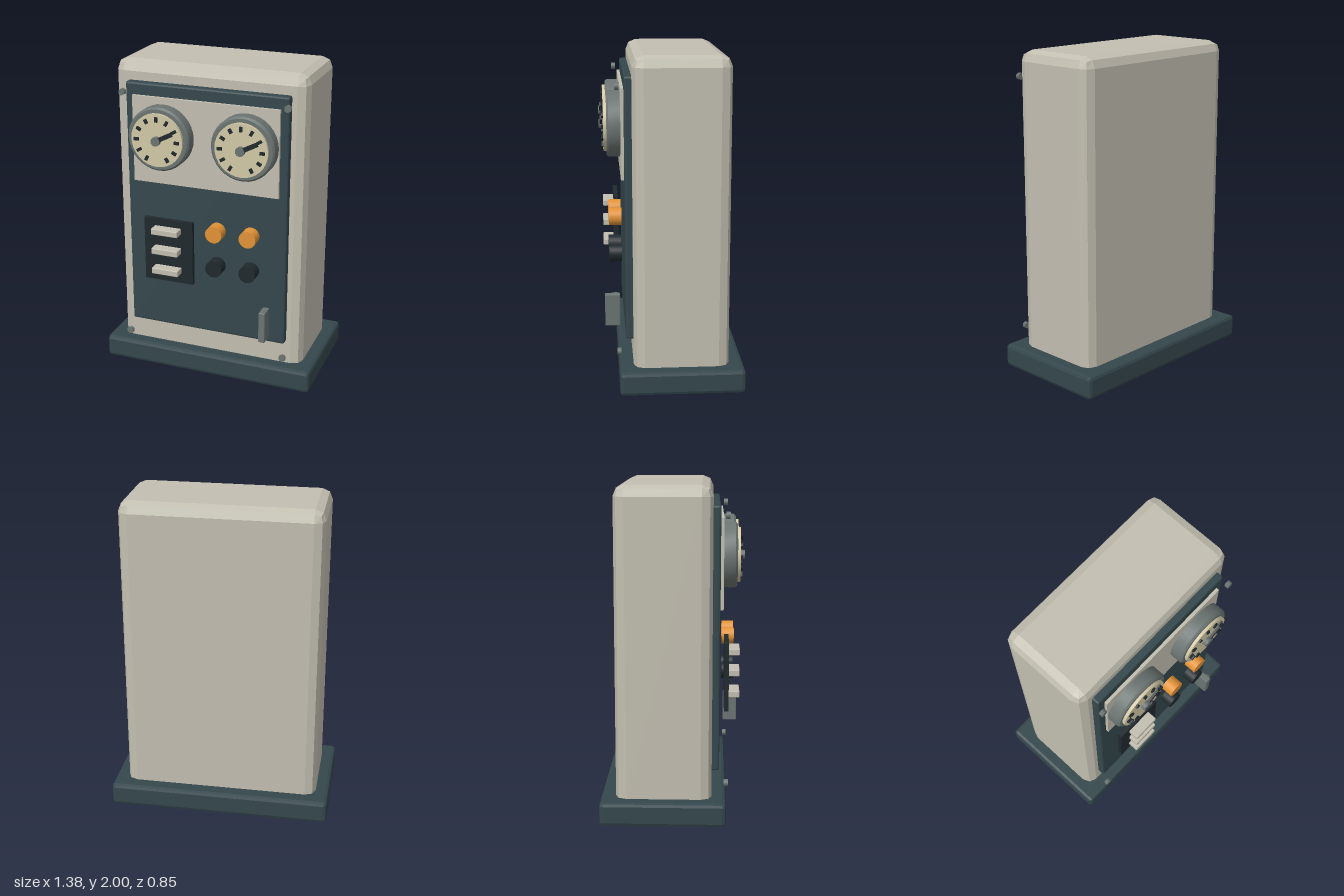
import * as THREE from 'three';
import { RoundedBoxGeometry } from 'three/addons/geometries/RoundedBoxGeometry.js';
import { toCreasedNormals } from 'three/addons/utils/BufferGeometryUtils.js';

const paint = (color, flatShading = false) => new THREE.MeshStandardMaterial({ color, flatShading });
const shell = paint(0xc2beb0, true);
const teal = paint(0x34474c, true);
const ivory = paint(0xc2beb0);
const metal = paint(0x6b7472);
const cream = paint(0xd2c8a6);
const black = paint(0x20292d);
const orange = paint(0xe29236);

export function createModel() {
  const model = new THREE.Group();

  const add = (name, geometry, material, x, y, z, parent = model) => {
    const mesh = new THREE.Mesh(geometry, material);
    mesh.name = name;
    mesh.position.set(x, y, z);
    parent.add(mesh);
    return mesh;
  };
  // Box with softened edges
  const soft = (w, h, d, r) => new RoundedBoxGeometry(w, h, d, 1, r);
  // Disc or knob facing the front
  const disc = (r, depth, sides) => new THREE.CylinderGeometry(r, r, depth, sides).rotateX(Math.PI / 2);

  // Cabinet on its plinth
  add('plinth', soft(1.385, 0.145, 0.75, 0.022), teal, 0, 0.0725, -0.05);
  add('cabinet', soft(1.22, 1.96, 0.575, 0.066), shell, 0, 1.02, -0.048);

  // Front panel and gauge plate
  add('frontPanel', soft(1.03, 1.585, 0.06, 0.012), teal, 0, 1.0875, 0.254);
  add('gaugePlate', new THREE.BoxGeometry(0.93, 0.54, 0.022), ivory, 0, 1.535, 0.292);

  // Pair of gauges: chamfered housing, dial, ticks, needle and hub
  const housing = toCreasedNormals(new THREE.LatheGeometry([
    [0, 0], [0.197, 0], [0.197, 0.072], [0.186, 0.084], [0, 0.084],
  ].map(([r, h]) => new THREE.Vector2(r, h)), 32).rotateX(Math.PI / 2), 0.6);
  for (const x of [-0.265, 0.265]) {
    const gauge = new THREE.Group();
    gauge.name = 'gauge';
    gauge.position.set(x, 1.57, 0.3);
    model.add(gauge);
    add('gaugeHousing', housing, metal, 0, 0, 0, gauge);
    add('gaugeDial', disc(0.164, 0.03, 32), cream, 0, 0, 0.087, gauge);
    for (let i = -5; i <= 5; i++) {
      const a = i * Math.PI / 6;
      const tick = add('gaugeTick', new THREE.BoxGeometry(0.018, 0.03, 0.012), black,
        Math.sin(a) * 0.13, Math.cos(a) * 0.13, 0.107, gauge);
      tick.rotation.z = -a;
    }
    const needle = add('gaugeNeedle', new THREE.BoxGeometry(0.115, 0.026, 0.014).translate(0.0575, 0, 0),
      black, 0, 0, 0.115, gauge);
    needle.rotation.z = 0.48;
    add('gaugeHub', disc(0.028, 0.028, 16), metal, 0, 0, 0.114, gauge);
  }

  // Switch bank
  add('switchPlate', new THREE.BoxGeometry(0.32, 0.413, 0.028), black, -0.23, 0.837, 0.325);
  for (const y of [0.98, 0.85, 0.717]) {
    add('switch', soft(0.175, 0.04, 0.07, 0.006), ivory, -0.232, y, 0.371);
  }

  // Knobs: lit row above, dark row below
  for (const x of [0.081, 0.297]) {
    add('lampKnob', disc(0.053, 0.077, 24), orange, x, 1.005, 0.337);
    add('darkKnob', disc(0.053, 0.077, 24), black, x, 0.776, 0.337);
  }

  // Lever
  add('lever', soft(0.042, 0.2, 0.092, 0.006), metal, 0.406, 0.45, 0.36);

  // Hexagonal corner bolts
  for (const x of [-0.518, 0.518]) {
    for (const y of [0.222, 1.825]) {
      add('bolt', disc(0.022, 0.025, 6), metal, x, y, 0.324);
    }
  }

  return model;
}
